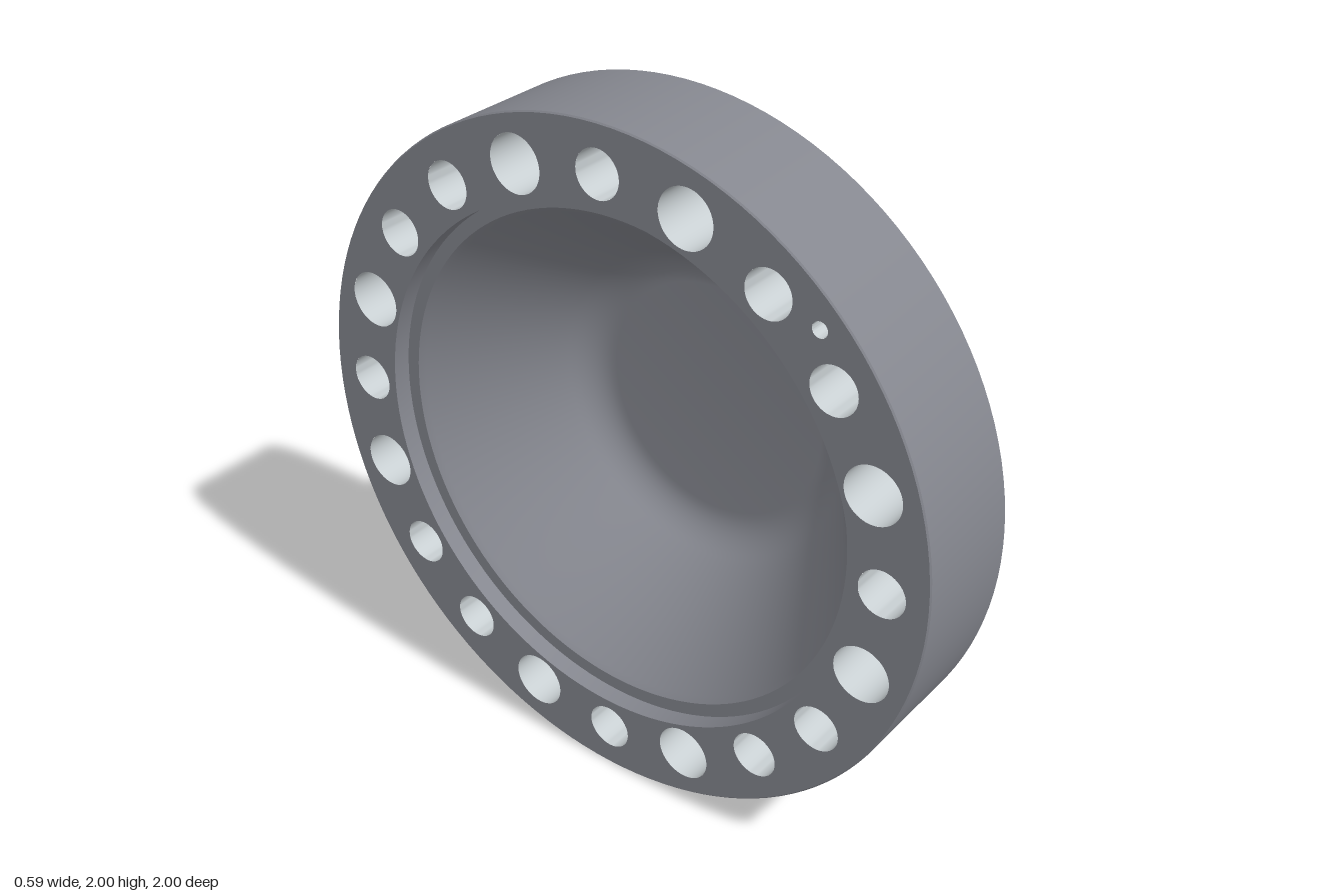
import * as THREE from 'three';
import { toCreasedNormals } from 'three/addons/utils/BufferGeometryUtils.js';

const BACK = -0.3, FRONT = 0.06;      // flange faces along the axis
const BOLT_CIRCLE = 0.865, BOLTS = 20;

const bodyMat = new THREE.MeshStandardMaterial({ color: 0x85878f });
const boreMat = new THREE.MeshStandardMaterial({ color: 0xc8cfd2 });

// Surface of revolution about local z from [radius, z] points
function turned(name, pts, material, segments = 128) {
  const geo = new THREE.LatheGeometry(pts.map(([r, z]) => new THREE.Vector2(r, z)), segments);
  geo.rotateX(Math.PI / 2);
  const mesh = new THREE.Mesh(toCreasedNormals(geo, 0.5), material);
  mesh.name = name;
  return mesh;
}

// Flat ring pierced by [x, y, radius] holes
function piercedRing(name, outer, inner, holes) {
  const shape = new THREE.Shape().absarc(0, 0, outer, 0, Math.PI * 2);
  for (const [x, y, r] of [[0, 0, inner], ...holes]) {
    shape.holes.push(new THREE.Path().absarc(x, y, r, 0, Math.PI * 2, true));
  }
  const mesh = new THREE.Mesh(new THREE.ShapeGeometry(shape, 64), bodyMat);
  mesh.name = name;
  return mesh;
}

// Quarter-round points between two tangent ends
function fillet(a, corner, b, n = 6) {
  const v = ([x, y]) => new THREE.Vector2(x, y);
  return new THREE.QuadraticBezierCurve(v(a), v(corner), v(b)).getPoints(n).map(p => [p.x, p.y]);
}

export function createModel() {
  const group = new THREE.Group();
  group.name = 'boltedFlange';
  const flange = new THREE.Group();
  flange.name = 'flange';
  flange.rotation.y = Math.PI / 2;    // local z becomes the x axis
  flange.position.y = 1;
  group.add(flange);

  // Bolt layout: plain holes alternate with counterbored ones
  const bolts = [];
  for (let k = 0; k < BOLTS; k++) {
    const a = (k / BOLTS) * Math.PI * 2;
    bolts.push({
      x: Math.sin(a) * BOLT_CIRCLE,
      y: Math.cos(a) * BOLT_CIRCLE,
      plain: [1, 4, 6, 9].includes(k % 10),
    });
  }

  // Rim
  flange.add(turned('rim', [
    [0.996, BACK], [1, BACK + 0.004], [1, FRONT - 0.004], [0.996, FRONT],
  ], bodyMat));

  // Front and back faces
  flange.add(piercedRing('frontFace', 0.996, 0.655,
    bolts.map(b => [b.x, b.y, b.plain ? 0.082 : 0.1])));
  flange.children.at(-1).position.z = FRONT;

  const pin = [0.925 * Math.SQRT1_2, 0.925 * Math.SQRT1_2, 0.022];
  const backFace = piercedRing('backFace', 0.996, 0.77,
    [...bolts.map(b => [b.x, b.y, b.plain ? 0.082 : 0.068]), pin]);
  backFace.rotation.y = Math.PI;
  backFace.position.z = BACK;
  flange.add(backFace);

  // Hub with chamfered nose and shallow centre recess
  flange.add(turned('hub', [
    ...fillet([0.655, FRONT], [0.635, FRONT], [0.635, FRONT + 0.02]),
    [0.635, 0.235], [0.58, 0.29], [0.4, 0.29], [0.4, 0.275],
    [0.345, 0.275], [0.325, 0.262], [0.325, 0.255], [0, 0.255],
  ], bodyMat));

  // Conical cavity with stepped mouth and rounded floor
  flange.add(turned('cavity', [
    [0, 0.2], [0.36, 0.2],
    ...fillet([0.36, 0.2], [0.43, 0.2], [0.477, 0.125], 8).slice(1),
    [0.715, -0.23], [0.73, -0.245], [0.77, -0.245], [0.77, BACK],
  ], bodyMat));

  // Bolt holes
  for (const b of bolts) {
    const hole = b.plain
      ? turned('plainBoltHole', [[0.082, FRONT], [0.082, BACK]], boreMat, 48)
      : turned('counterboredBoltHole',
        [[0.1, FRONT], [0.1, -0.12], [0.068, -0.12], [0.068, BACK]], boreMat, 48);
    hole.position.set(b.x, b.y, 0);
    flange.add(hole);
  }

  // Blind locating hole on the back
  const pinHole = turned('locatingHole',
    [[0.022, BACK + 0.1], [0.022, BACK]], boreMat, 24);
  const pinEnd = turned('locatingHoleEnd', [[0, BACK + 0.1], [0.022, BACK + 0.1]], boreMat, 24);
  for (const part of [pinHole, pinEnd]) {
    part.position.set(-pin[0], pin[1], 0);
    flange.add(part);
  }

  return group;
}
